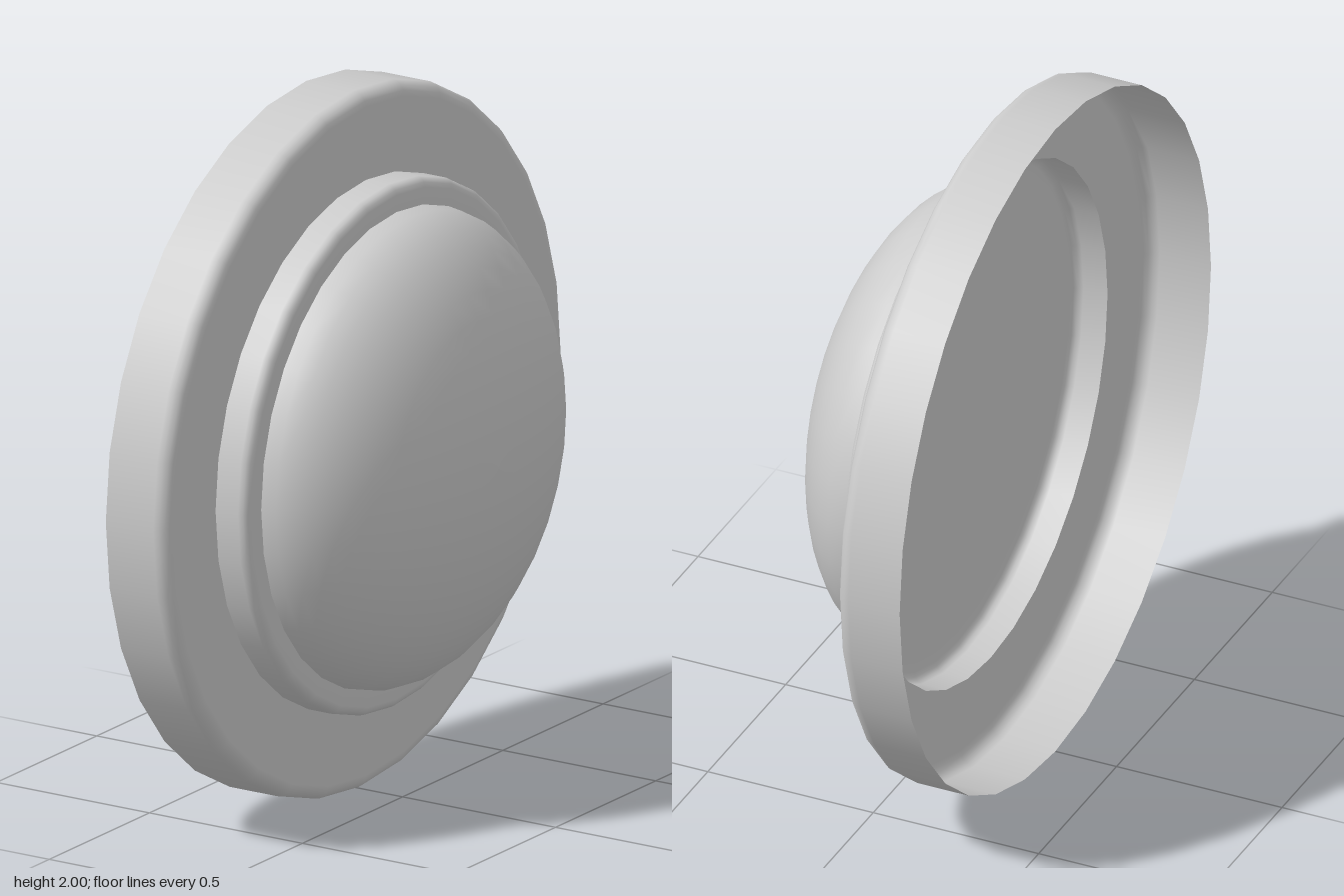
import * as THREE from 'three';

const SIDES = 32;
const material = new THREE.MeshStandardMaterial({ color: 0xcccccc, side: THREE.DoubleSide });

// Turned surface about the x axis; the profile lists [radius, x]
function turned(name, profile) {
  const points = profile.map(([r, x]) => new THREE.Vector2(r, x));
  const geometry = new THREE.LatheGeometry(points, SIDES);
  geometry.rotateZ(-Math.PI / 2);
  const mesh = new THREE.Mesh(geometry, material);
  mesh.name = name;
  return mesh;
}

// Quarter ellipse from [r, x] on the outside to the front
function quarter(r, x, rSize, xSize, steps) {
  return Array.from({ length: steps + 1 }, (_, i) => {
    const a = (i / steps) * Math.PI / 2;
    return [Math.max(0, r - rSize + rSize * Math.cos(a)), x + xSize * Math.sin(a)];
  });
}

export function createModel() {
  const model = new THREE.Group();
  model.name = 'domedCap';

  // Outer flange: open-backed shell with a rounded front edge
  model.add(turned('flange', [
    [1, -0.315],
    ...quarter(1, -0.16, 0.04, 0.04, 4),
    [0.75, -0.12],
  ]));

  // Raised collar, closed by a flat plate that is the floor of the rear recess
  model.add(turned('collar', [
    [0.75, -0.12],
    ...quarter(0.75, -0.047, 0.027, 0.027, 3),
    [0.67, -0.02],
    [0, -0.02],
  ]));

  // Shallow dome on the collar
  model.add(turned('dome', quarter(0.675, -0.02, 0.675, 0.335, 12)));

  model.position.y = 1;
  const root = new THREE.Group();
  root.add(model);
  return root;
}
